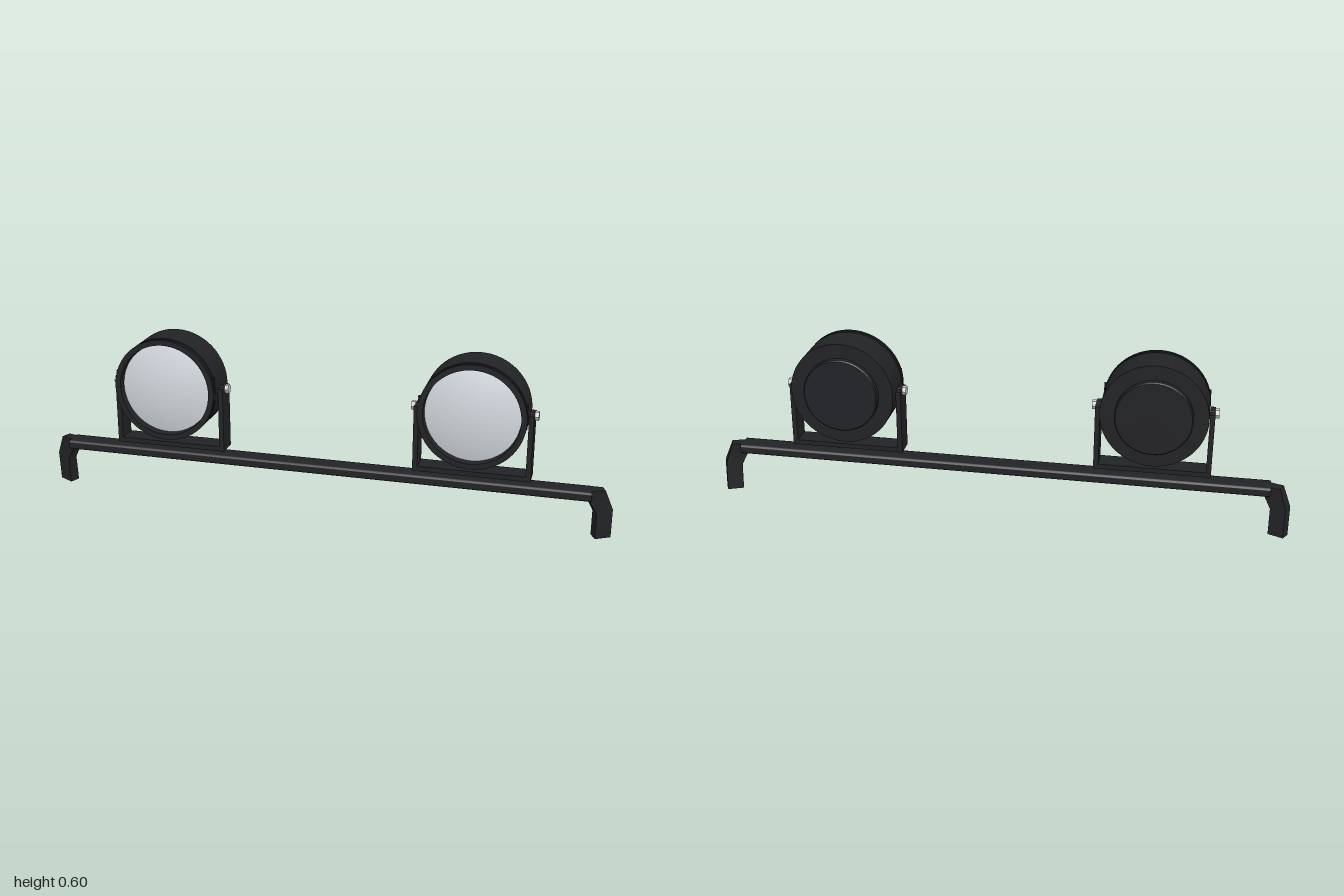
import * as THREE from 'three';
import { toCreasedNormals } from 'three/addons/utils/BufferGeometryUtils.js';

const black = new THREE.MeshStandardMaterial({ color: 0x222326 });
const lensGrey = new THREE.MeshStandardMaterial({ color: 0xd2d8de });
const steel = new THREE.MeshStandardMaterial({ color: 0xcccccc });

function part(name, geometry, material, parent, x = 0, y = 0, z = 0) {
  const mesh = new THREE.Mesh(geometry, material);
  mesh.name = name;
  mesh.position.set(x, y, z);
  parent.add(mesh);
  return mesh;
}

// Turned shape whose axis runs along z; points are [radius, z]
function turned(points) {
  const g = new THREE.LatheGeometry(points.map(p => new THREE.Vector2(p[0], p[1])), 64);
  g.rotateX(Math.PI / 2);
  return toCreasedNormals(g, 0.5);
}

// Rounded rectangle, w by h, extruded along z and centred
function roundedBar(w, h, depth, r) {
  const s = new THREE.Shape();
  const a = w / 2, b = h / 2;
  s.moveTo(-a + r, -b).lineTo(a - r, -b);
  s.absarc(a - r, -b + r, r, -Math.PI / 2, 0);
  s.absarc(a - r, b - r, r, 0, Math.PI / 2);
  s.absarc(-a + r, b - r, r, Math.PI / 2, Math.PI);
  s.absarc(-a + r, -b + r, r, Math.PI, Math.PI * 1.5);
  const g = new THREE.ExtrudeGeometry(s, { depth, bevelEnabled: false, curveSegments: 5 });
  g.translate(0, 0, -depth / 2);
  return toCreasedNormals(g, 0.6);
}

// Bent foot: four-sided sections given by centre, half length u, half thickness v
function footGeometry(side) {
  const sections = [
    { c: [0.967, 0.002, -0.025], u: [0.025, 0.001, -0.0125], v: [0.008, -0.001, 0.0155] },
    { c: [0.967, 0.1, -0.017], u: [0.025, 0.006, -0.0125], v: [0.008, 0, 0.0155] },
    { c: [0.942, 0.158, -0.008], u: [0.025, 0.018, -0.008], v: [0.006, 0, 0.016] },
    { c: [0.915, 0.16, 0], u: [0, 0.016, 0], v: [0, 0, 0.022] },
  ];
  const signs = [[-1, -1], [1, -1], [1, 1], [-1, 1]];
  const pos = [], index = [];
  for (const { c, u, v } of sections)
    for (const [p, q] of signs) {
      const k = [0, 1, 2].map(i => c[i] + p * u[i] + q * v[i]);
      pos.push(side * k[0], k[1], k[2]);
    }
  const quad = (a, b, c, d) => (side > 0
    ? index.push(a, b, c, a, c, d)
    : index.push(a, c, b, a, d, c));
  for (let i = 0; i < sections.length - 1; i++)
    for (let j = 0; j < 4; j++) {
      const a = i * 4 + j, b = i * 4 + (j + 1) % 4;
      quad(a, a + 4, b + 4, b);
    }
  quad(0, 1, 2, 3);
  const t = (sections.length - 1) * 4;
  quad(t + 3, t + 2, t + 1, t);
  const g = new THREE.BufferGeometry();
  g.setAttribute('position', new THREE.Float32BufferAttribute(pos, 3));
  g.setIndex(index);
  return toCreasedNormals(g, 0.6);
}

// Round lamp in its U bracket, centred on the lamp axis
function createLamp() {
  const lamp = new THREE.Group();
  lamp.name = 'lamp';

  // Housing with stepped back cover, seam groove and front rim
  part('housing', turned([
    [0, -0.084], [0.126, -0.084], [0.13, -0.08], [0.13, -0.062],
    [0.18, -0.062], [0.18, 0.06], [0.177, 0.06], [0.177, 0.074],
    [0.18, 0.074], [0.18, 0.085], [0.161, 0.085], [0.159, 0.055],
  ]), black, lamp);

  // Shallow domed lens
  const dome = [];
  for (let i = 0; i <= 12; i++) {
    const r = 0.16 * (1 - i / 12);
    dome.push([r, 0.058 + 0.025 * (1 - (r / 0.16) ** 2)]);
  }
  part('lens', turned(dome), lensGrey, lamp);

  // U bracket
  const z = 0.007, width = 0.073, wall = 0.017;
  part('bracketBase', new THREE.BoxGeometry(0.394, wall, width), black, lamp, 0, -0.2125, z);
  for (const s of [-1, 1]) {
    part('bracketArm', new THREE.BoxGeometry(wall, 0.228, width), black, lamp, s * 0.1895, -0.107, z);

    // Pivot pin and hexagonal bolt head
    const pin = part('pivotPin', new THREE.CylinderGeometry(0.01, 0.01, 0.03, 16), black, lamp, s * 0.18, 0, z);
    pin.rotation.z = Math.PI / 2;
    const bolt = part('bolt', toCreasedNormals(new THREE.CylinderGeometry(0.0165, 0.0165, 0.014, 6), 0.3),
      steel, lamp, s * 0.204, 0, z);
    bolt.rotation.set(0, 0, Math.PI / 2);

    // Ribbed clasp in the seam groove
    part('claspBlock', new THREE.BoxGeometry(0.006, 0.028, 0.013), black, lamp, s * 0.1765, -0.014, 0.067);
    for (let i = 0; i < 5; i++)
      part('claspRib', new THREE.BoxGeometry(0.006, 0.003, 0.013), black, lamp, s * 0.1755, 0.032 + i * 0.0055, 0.067);
  }
  return lamp;
}

export function createModel() {
  const model = new THREE.Group();
  model.name = 'lightBar';

  // Cross bar
  const bar = part('crossBar', roundedBar(0.073, 0.033, 1.86, 0.009), black, model, 0, 0.16, 0);
  bar.rotation.y = Math.PI / 2;

  for (const s of [-1, 1]) {
    part(s > 0 ? 'leftFoot' : 'rightFoot', footGeometry(s), black, model);
    const lamp = createLamp();
    lamp.position.set(s * 0.532, 0.418, 0);
    model.add(lamp);
  }
  return model;
}
